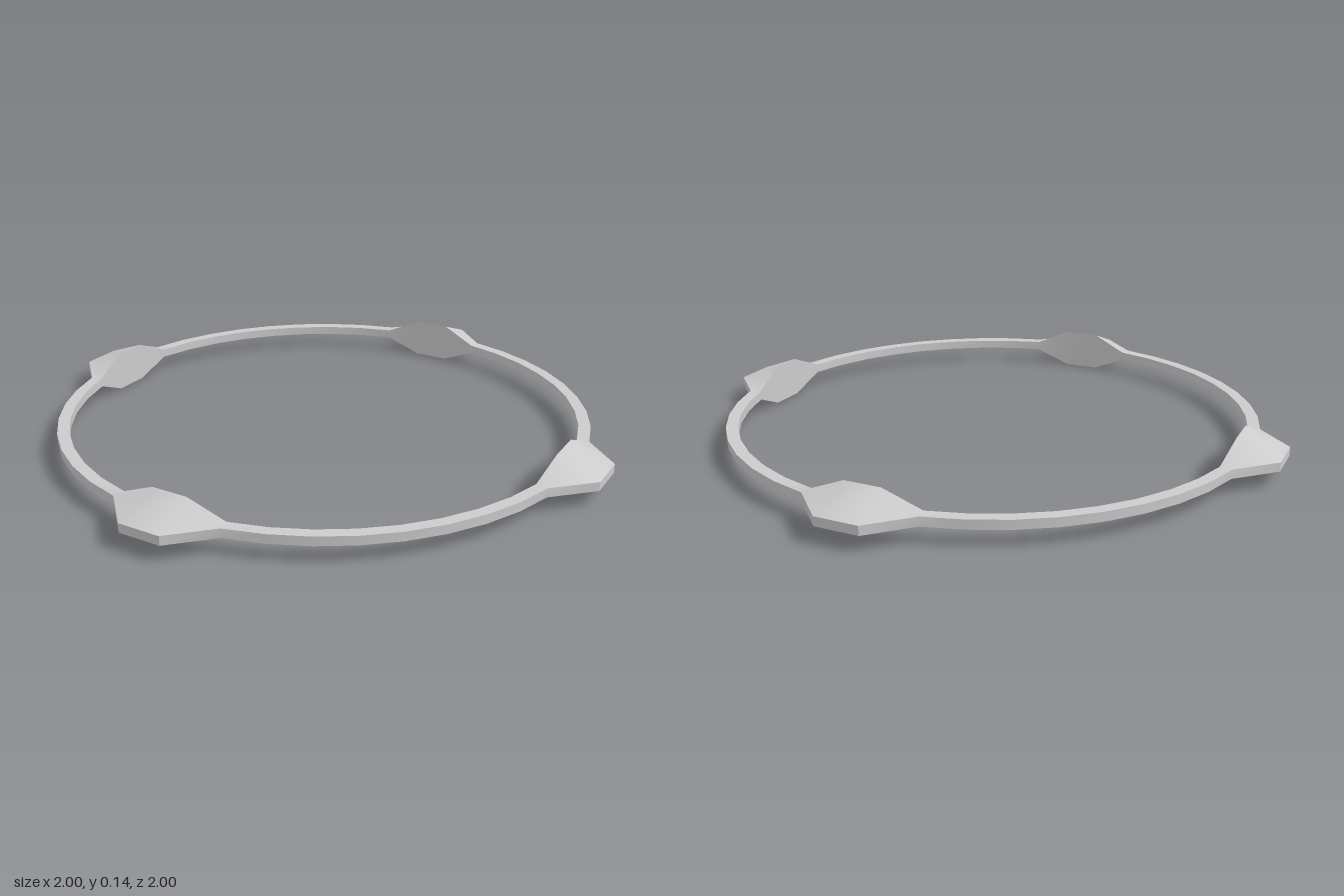
import * as THREE from 'three';
import { toCreasedNormals } from 'three/addons/utils/BufferGeometryUtils.js';

const SEGMENTS = 44;      // sides of the ring
const CENTRE_Y = 0.0685;
const INNER = 0.86, OUTER = 0.9, HALF = 0.015;   // slim band
const LUG_OUTER = 1.0026, LUG_HALF = 0.0685;     // flared lugs

// Four-cornered cross-section at one station: [radius, height]
function section(i) {
  const k = i % (SEGMENTS / 4);
  const lug = k === 0 || k === SEGMENTS / 4 - 1;   // two stations astride each axis
  const outer = lug ? LUG_OUTER : OUTER;
  const h = lug ? LUG_HALF : HALF;                 // only the inner wall grows taller
  return [[INNER, -h], [outer, -HALF], [outer, HALF], [INNER, h]];
}

// Closed loft of the sections around the y axis
function ringGeometry() {
  const positions = [], index = [];
  for (let i = 0; i < SEGMENTS; i++) {
    const a = ((i + 0.5) / SEGMENTS) * Math.PI * 2;
    for (const [r, y] of section(i)) {
      positions.push(r * Math.sin(a), CENTRE_Y + y, r * Math.cos(a));
    }
    const next = (i + 1) % SEGMENTS;
    for (let j = 0; j < 4; j++) {
      const k = (j + 1) % 4;
      const A = i * 4 + j, B = next * 4 + j, C = next * 4 + k, D = i * 4 + k;
      index.push(A, B, C, A, C, D);
    }
  }
  const geometry = new THREE.BufferGeometry();
  geometry.setAttribute('position', new THREE.Float32BufferAttribute(positions, 3));
  geometry.setIndex(index);
  return toCreasedNormals(geometry, 0.65);
}

export function createModel() {
  const group = new THREE.Group();
  group.name = 'luggedRing';
  // Thin band with four flared lugs, one on each axis
  const ring = new THREE.Mesh(ringGeometry(), new THREE.MeshStandardMaterial({ color: 0xcccccc }));
  ring.name = 'ringWithLugs';
  group.add(ring);
  return group;
}
